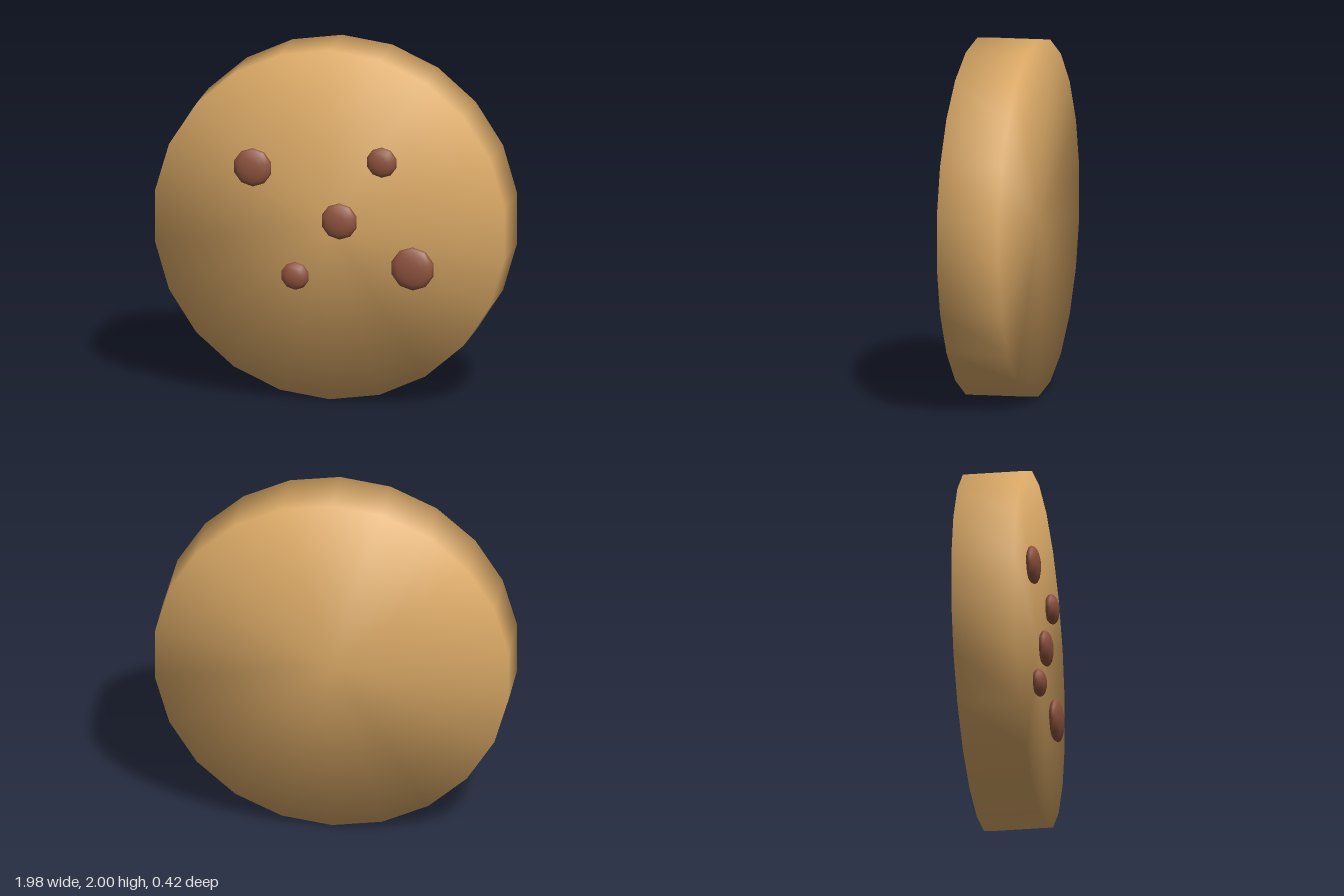
import * as THREE from 'three';

const HALF = 0.175;          // half the biscuit's thickness
const DISC_Z = -0.035;       // centre of the biscuit in depth

// 22-sided disc whose rim normals blend softly into both faces
function discGeometry() {
  const geo = new THREE.CylinderGeometry(1, 1, HALF * 2, 22);
  const pos = geo.attributes.position;
  const n = new THREE.Vector3();
  for (let i = 0; i < pos.count; i++) {
    n.set(1.4 * pos.getX(i), Math.sign(pos.getY(i)), 1.4 * pos.getZ(i)).normalize();
    geo.attributes.normal.setXYZ(i, n.x, n.y, n.z);
  }
  // stand on edge with a corner at the top
  return geo.rotateX(Math.PI / 2);
}

export function createModel() {
  const group = new THREE.Group();
  const dough = new THREE.MeshStandardMaterial({ color: 0xd9a866 });
  const chocolate = new THREE.MeshStandardMaterial({ color: 0x8f533e });

  const disc = new THREE.Mesh(discGeometry(), dough);
  disc.name = 'biscuit';
  disc.position.set(0, 1, DISC_Z);
  // put a corner of the outline at the very top
  group.add(disc);

  // flattened chips, poles facing front, 10 sides with a corner at the top
  const chipGeo = new THREE.SphereGeometry(1, 10, 8).rotateX(Math.PI / 2).rotateZ(Math.PI / 2);
  const chips = [   // x, y, radius
    [-0.43, 1.315, 0.11],
    [0.30, 1.38, 0.087],
    [0.06, 1.03, 0.104],
    [-0.19, 0.705, 0.08],
    [0.475, 0.78, 0.124],
  ];
  chips.forEach(([x, y, r], i) => {
    const chip = new THREE.Mesh(chipGeo, chocolate);
    chip.name = `chip${i + 1}`;
    chip.position.set(x, y, 0.168);
    chip.scale.set(r, r, 0.042);
    group.add(chip);
  });

  return group;
}
